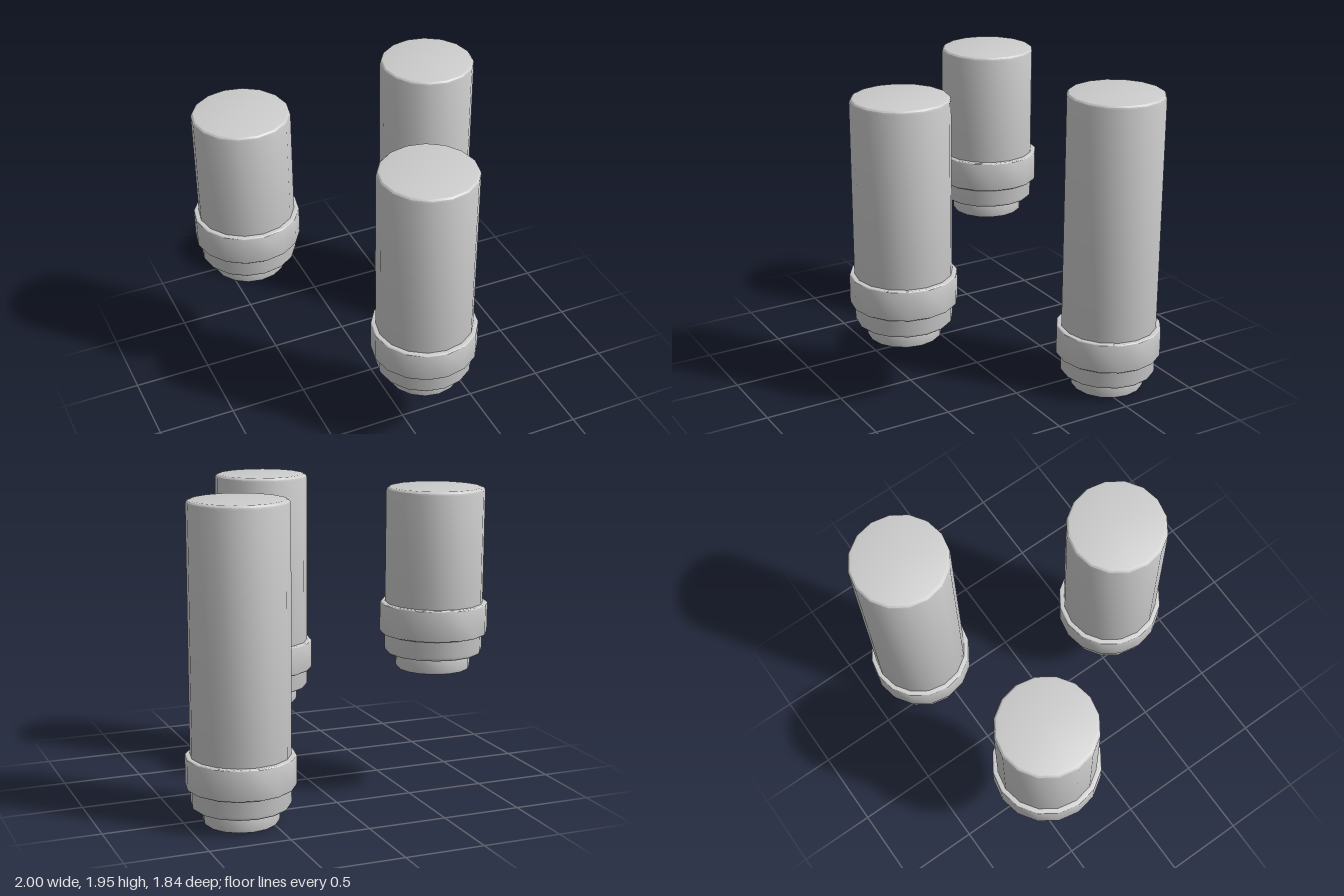
import * as THREE from 'three';
import { toCreasedNormals } from 'three/addons/utils/BufferGeometryUtils.js';

const SIDES = 16;
const TOP = 1.95;

// Sixteen-sided disc or ring with small rounded outer edges.
function roundedDrum(radius, y0, y1, bevel, innerRadius = 0) {
  const profile = [new THREE.Vector2(innerRadius, y0)];
  for (const [cy, start] of [[y0 + bevel, -90], [y1 - bevel, 0]]) {
    for (let i = 0; i <= 3; i++) {
      const a = THREE.MathUtils.degToRad(start + i * 30);
      profile.push(new THREE.Vector2(radius - bevel + bevel * Math.cos(a), cy + bevel * Math.sin(a)));
    }
  }
  profile.push(new THREE.Vector2(innerRadius, y1));
  return toCreasedNormals(new THREE.LatheGeometry(profile, SIDES), 0.48);
}

export function createModel() {
  const model = new THREE.Group();
  model.name = 'hangingPillars';
  const grey = new THREE.MeshStandardMaterial({ color: 0xcccccc });
  grey.name = 'grey';

  // One pillar: long column, collar near the lower end, narrow foot.
  function addPillar(name, x, z, base) {
    const pillar = new THREE.Group();
    pillar.name = name;
    pillar.position.set(x, base, z);
    const add = (part, geometry) => {
      const mesh = new THREE.Mesh(geometry, grey);
      mesh.name = part;
      pillar.add(mesh);
    };
    add('column', roundedDrum(0.305, 0.1, TOP - base, 0.025));
    add('collar', roundedDrum(0.336, 0.227, 0.423, 0.012, 0.29));
    add('foot', roundedDrum(0.232, 0, 0.1, 0.015));
    model.add(pillar);
  }

  addPillar('shortPillar', -0.664, -0.468, 0.81);
  addPillar('middlePillar', 0.098, 0.585, 0.405);
  addPillar('tallPillar', 0.662, -0.585, 0);
  return model;
}
